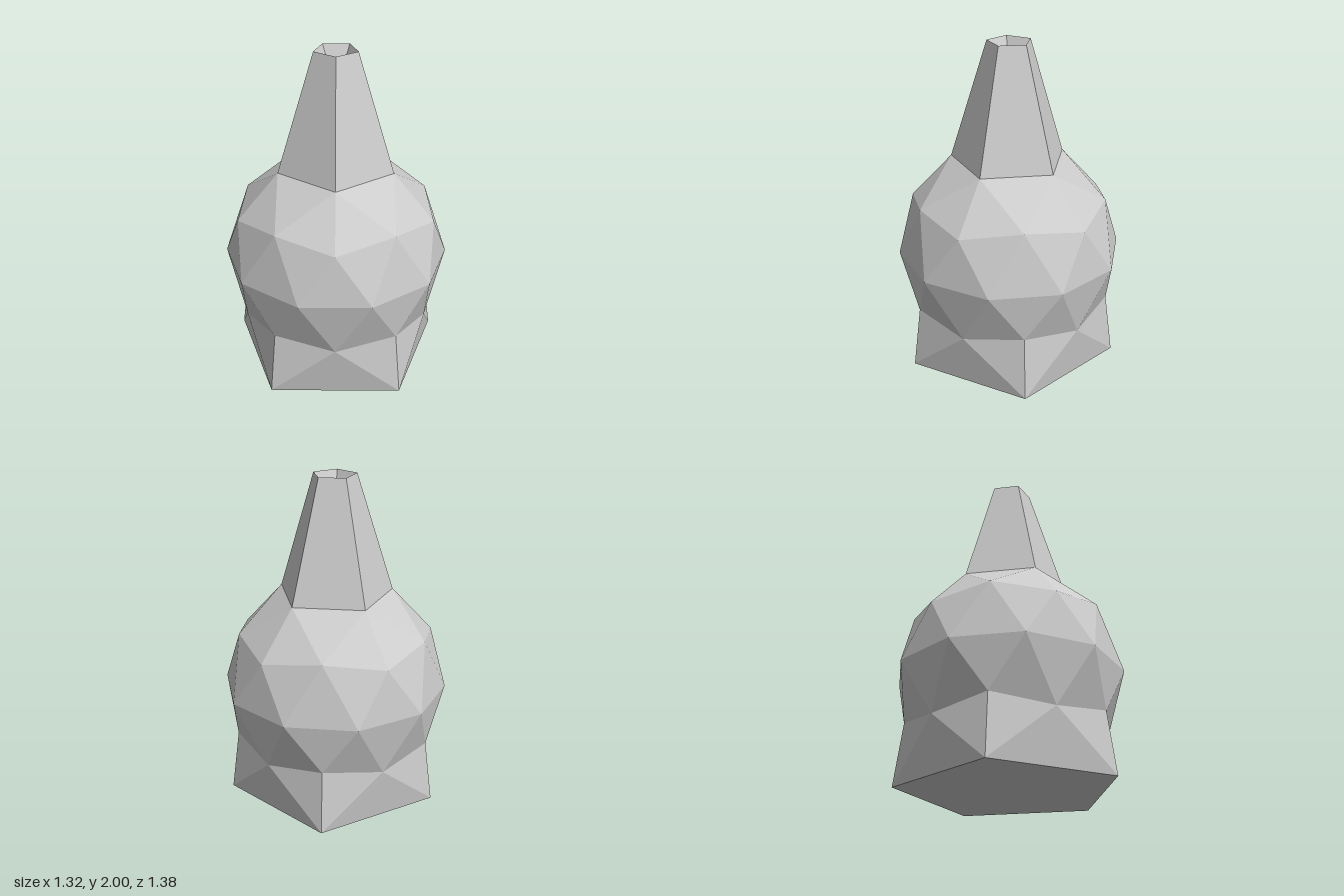
import * as THREE from 'three';

const R = 0.69; // ball radius, also the height of its centre

// A ring of points: fixed radius and height, the angle (degrees) chosen later
const ring = (radius, y) => (deg) => {
  const a = THREE.MathUtils.degToRad(deg);
  return [radius * Math.cos(a), y, radius * Math.sin(a)];
};

// Rings of a once-subdivided icosahedron, from top to bottom
const rim = ring(0.135, 2);
const collar = ring(0.5257 * R, R + 0.8507 * R);
const upperMid = ring(0.8507 * R, R + 0.5257 * R);
const upper = ring(0.8944 * R, R + 0.4472 * R);
const equator = ring(R, R);
const lower = ring(0.8944 * R, R - 0.4472 * R);
const lowerMid = ring(0.8507 * R, R - 0.5257 * R);
const foot = ring(0.667, 0);
const pit = ring(0, 1.75);
const floor = ring(0, 0);

// Repeats one sector of triangles five times; a corner is [ring, angle]
function fiveFold(name, triangles, material) {
  const positions = [];
  for (let k = 0; k < 5; k++) {
    for (const tri of triangles) {
      for (const [r, deg] of tri) positions.push(...r(deg + 72 * k));
    }
  }
  const geometry = new THREE.BufferGeometry();
  geometry.setAttribute('position', new THREE.Float32BufferAttribute(positions, 3));
  geometry.computeVertexNormals();
  const mesh = new THREE.Mesh(geometry, material);
  mesh.name = name;
  return mesh;
}

export function createModel() {
  const group = new THREE.Group();
  group.name = 'bottle';
  const material = new THREE.MeshStandardMaterial({ color: 0xcccccc, flatShading: true });

  // Faceted ball
  group.add(fiveFold('body', [
    [[upperMid, 36], [collar, 0], [collar, 72]],
    [[upper, 0], [collar, 0], [upperMid, 36]],
    [[upper, 0], [upperMid, -36], [collar, 0]],
    [[equator, 18], [upper, 0], [upperMid, 36]],
    [[equator, -18], [upperMid, -36], [upper, 0]],
    [[upperMid, 36], [equator, 54], [equator, 18]],
    [[upper, 0], [equator, 18], [equator, -18]],
    [[lower, 36], [equator, 18], [equator, 54]],
    [[lowerMid, 0], [equator, -18], [equator, 18]],
    [[equator, 18], [lower, 36], [lowerMid, 0]],
    [[equator, -18], [lowerMid, 0], [lower, -36]],
  ], material));

  // Tapered five-sided neck
  group.add(fiveFold('neck', [
    [[collar, 72], [collar, 0], [rim, 0]],
    [[collar, 72], [rim, 0], [rim, 72]],
  ], material));

  // Pointed hollow in the top of the neck
  group.add(fiveFold('mouth', [
    [[pit, 0], [rim, 72], [rim, 0]],
  ], material));

  // Flared skirt with a flat pentagonal underside
  group.add(fiveFold('base', [
    [[foot, 36], [lowerMid, 0], [lower, 36]],
    [[foot, -36], [lower, -36], [lowerMid, 0]],
    [[lowerMid, 0], [foot, 36], [foot, -36]],
    [[floor, 0], [foot, -36], [foot, 36]],
  ], material));

  return group;
}
